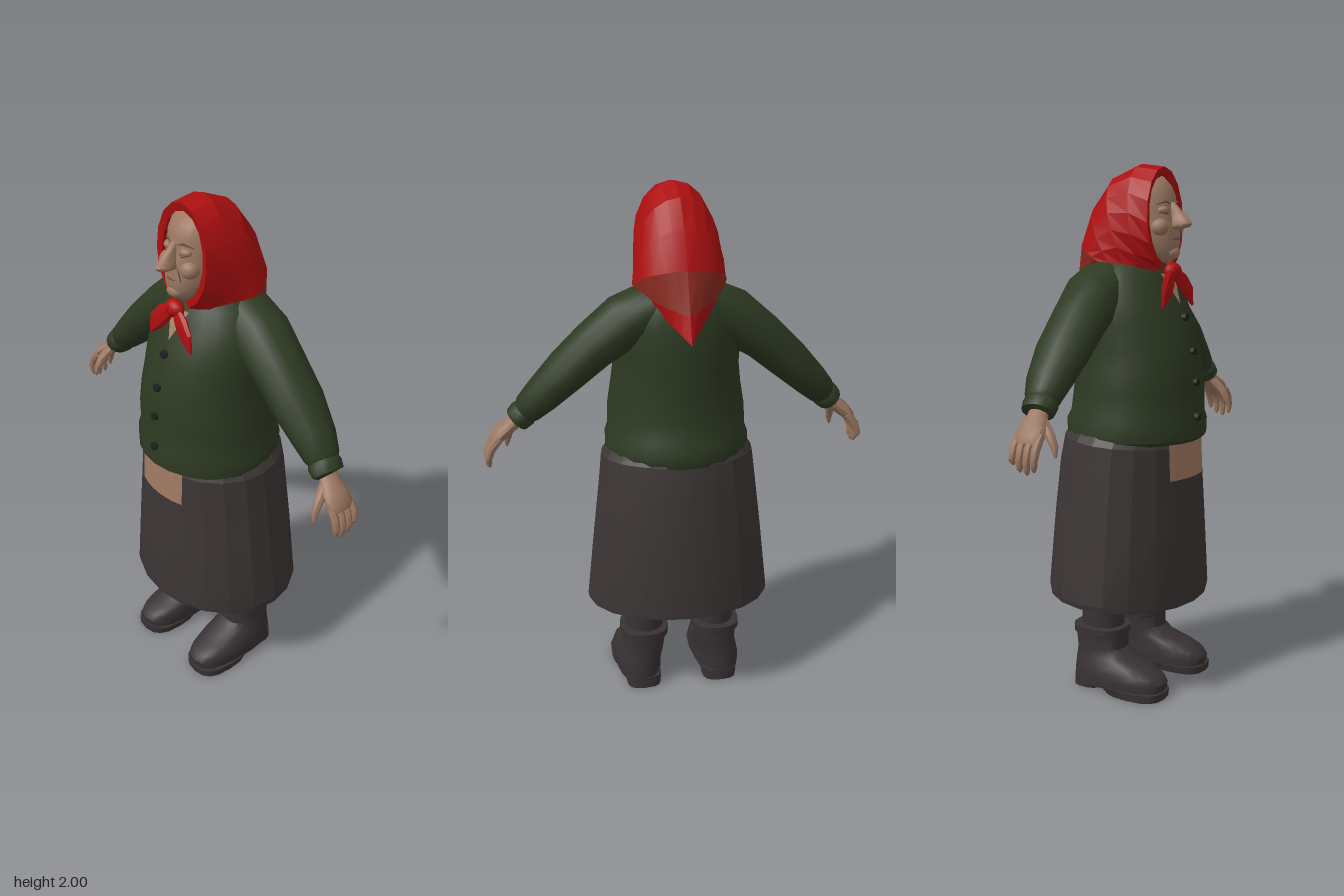
import * as THREE from 'three';
import { toCreasedNormals } from 'three/addons/utils/BufferGeometryUtils.js';

const mat = (name, color, side = THREE.FrontSide) => {
  const m = new THREE.MeshStandardMaterial({ color, side });
  m.name = name;
  return m;
};

// Skins a list of rings; closed rings get end caps, open ones make a sheet
function loft(rings, { open = false, crease = 0.7 } = {}) {
  const n = rings[0].length, pos = rings.flat(2), idx = [];
  for (let i = 0; i < rings.length - 1; i++)
    for (let j = 0; j < (open ? n - 1 : n); j++) {
      const a = i * n + j, b = i * n + (j + 1) % n;
      idx.push(a, b, b + n, a, b + n, a + n);
    }
  if (!open) [0, rings.length - 1].forEach((r, end) => {
    const c = pos.length / 3;
    for (let k = 0; k < 3; k++) pos.push(rings[r].reduce((s, p) => s + p[k], 0) / n);
    for (let j = 0; j < n; j++) {
      const a = r * n + j, b = r * n + (j + 1) % n;
      end ? idx.push(a, b, c) : idx.push(b, a, c);
    }
  });
  const g = new THREE.BufferGeometry();
  g.setAttribute('position', new THREE.Float32BufferAttribute(pos, 3));
  g.setIndex(idx);
  return toCreasedNormals(g, crease);
}

// Level oval rings from rows of [y, halfWidth, zFront, zBack, centreX]
function ovals(rows, n = 20, p = 1, tilt = 0) {
  const pw = v => Math.sign(v) * Math.abs(v) ** p;
  return rows.map(([y, w, zf, zb, cx = 0]) => Array.from({ length: n }, (_, j) => {
    const a = j / n * Math.PI * 2;
    const z = (zf + zb) / 2 + (zf - zb) / 2 * pw(Math.cos(a));
    return [cx + w * pw(Math.sin(a)), y + (zf - z) * tilt, z];
  }));
}

// Oval rings across a path with rows of [x, y, z, thickness, depth]
function limb(rows, n = 12) {
  const P = rows.map(r => new THREE.Vector3(r[0], r[1], r[2]));
  return rows.map((r, i) => {
    const d = P[Math.min(i + 1, P.length - 1)].clone().sub(P[Math.max(i - 1, 0)]).normalize();
    const v = new THREE.Vector3(0, 0, 1).addScaledVector(d, -d.z).normalize();
    const u = d.clone().cross(v);
    return Array.from({ length: n }, (_, j) => {
      const a = j / n * Math.PI * 2;
      return P[i].clone().addScaledVector(u, r[3] * Math.sin(a))
        .addScaledVector(v, r[4] * Math.cos(a)).toArray();
    });
  });
}
const line = (pts, r = 0.004) => limb(pts.map((p, i) =>
  [...p, i % (pts.length - 1) ? r : r * 0.3, i % (pts.length - 1) ? r : r * 0.3]), 6);
const mirror = rings => rings.map(r => r.map(([x, y, z]) => [-x, y, z]).reverse());

export function createModel() {
  const root = new THREE.Group();
  const skin = mat('skin', 0x9c7862), green = mat('green wool', 0x2d3922);
  const skirtMat = mat('dark skirt', 0x3c3535), bootMat = mat('boot leather', 0x383233);
  const red = mat('red cloth', 0xac0f10, THREE.DoubleSide);
  const faded = mat('faded red cloth', 0x8a2a1f, THREE.DoubleSide);
  const dark = mat('button black', 0x1d201c), crease = mat('wrinkle brown', 0x634a3d);
  const patchMat = mat('patch', 0xa07b63, THREE.DoubleSide);

  const mesh = (name, geo, m) => {
    const o = new THREE.Mesh(geo, m);
    o.name = name;
    root.add(o);
    return o;
  };
  const part = (name, rings, m, opt) => mesh(name, loft(rings, opt), m);
  const pair = (name, rings, m, opt) => {
    part('left ' + name, rings, m, opt);
    part('right ' + name, mirror(rings), m, opt);
  };
  const blob = (name, m, p, s) => {
    const o = mesh(name, new THREE.SphereGeometry(1, 14, 10), m);
    o.position.set(...p);
    o.scale.set(...s);
  };

  // Skirt, with an inner lining
  part('skirt', ovals([
    [0.9, 0.27, 0.23, -0.21], [0.4, 0.34, 0.26, -0.28], [0.352, 0.35, 0.27, -0.29],
    [0.35, 0.36, 0.28, -0.3], [0.37, 0.364, 0.282, -0.3], [0.65, 0.333, 0.272, -0.28],
    [0.86, 0.308, 0.263, -0.26], [0.96, 0.297, 0.259, -0.24], [1.03, 0.25, 0.23, -0.2],
  ], 20, 1, 0.07), skirtMat, { crease: 0.28 });

  // Sewn patch following the skirt front
  const patch = [0.84, 0.91, 0.98].map((y, i) => Array.from({ length: 7 }, (_, j) => {
    const x = -0.13 + 0.04 * j;
    return [x, y, 0.008 + (0.262 - i * 0.003) * Math.sqrt(1 - (x / 0.302) ** 2)];
  }));
  part('skirt patch', patch, patchMat, { open: true });

  // Cardigan
  part('cardigan body', ovals([
    [0.975, 0.262, 0.27, -0.23], [0.99, 0.277, 0.288, -0.242], [1.05, 0.278, 0.29, -0.242],
    [1.08, 0.267, 0.28, -0.225], [1.16, 0.265, 0.28, -0.213], [1.25, 0.25, 0.275, -0.205],
    [1.33, 0.24, 0.26, -0.205], [1.42, 0.243, 0.235, -0.205], [1.5, 0.235, 0.2, -0.197],
    [1.56, 0.215, 0.165, -0.187], [1.61, 0.18, 0.14, -0.168], [1.65, 0.13, 0.11, -0.14],
    [1.67, 0.08, 0.08, -0.1],
  ], 24), green);
  pair('sleeve', limb([
    [0.1, 1.575, -0.045, 0.085, 0.11], [0.2, 1.515, -0.045, 0.103, 0.117],
    [0.32, 1.425, -0.035, 0.09, 0.108], [0.42, 1.335, -0.03, 0.082, 0.105],
    [0.52, 1.238, -0.022, 0.068, 0.085], [0.568, 1.19, -0.012, 0.058, 0.068],
    [0.578, 1.18, -0.01, 0.05, 0.06], [0.588, 1.17, -0.008, 0.055, 0.066],
    [0.61, 1.147, -0.004, 0.05, 0.062], [0.614, 1.143, -0.004, 0.036, 0.045],
  ], 14), green);
  [[1.44, 0.231], [1.315, 0.266], [1.2, 0.28], [1.07, 0.288]].forEach(([y, z], i) => {
    const b = mesh('button ' + (i + 1), new THREE.CylinderGeometry(0.014, 0.016, 0.018, 10), dark);
    b.rotation.x = Math.PI / 2;
    b.position.set(0, y, z);
  });

  // Hands
  pair('palm', limb([
    [0.595, 1.162, 0, 0.028, 0.036], [0.63, 1.128, 0.005, 0.028, 0.04],
    [0.665, 1.1, 0.012, 0.029, 0.053], [0.695, 1.07, 0.015, 0.024, 0.054],
    [0.705, 1.05, 0.015, 0.015, 0.05],
  ]), skin);
  [-0.043, -0.015, 0.014, 0.043].forEach((o, i) => {
    const tip = 0.952 + [0.03, 0.008, 0, 0.012][i];
    pair('finger ' + (i + 1), limb([
      [0.68, 1.082, 0.015 + o, 0.016, 0.014], [0.713, 1.04, 0.015 + o * 1.05, 0.016, 0.015],
      [0.726, 1, 0.015 + o * 1.05, 0.013, 0.013], [0.722, tip + 0.012, 0.015 + o, 0.011, 0.011],
      [0.72, tip, 0.015 + o, 0.004, 0.004],
    ], 8), skin);
  });
  pair('thumb', limb([
    [0.625, 1.125, 0.025, 0.02, 0.018], [0.64, 1.08, 0.065, 0.018, 0.018],
    [0.645, 1.04, 0.088, 0.014, 0.014], [0.65, 1.005, 0.095, 0.005, 0.005],
  ], 8), skin);

  // Legs and boots
  pair('leg', ovals([[0.2, 0.075, 0.04, -0.125, 0.145], [0.35, 0.078, 0.045, -0.13, 0.142],
    [0.65, 0.095, 0.08, -0.13, 0.13]], 14), bootMat);
  pair('boot', ovals([
    [0.025, 0.088, 0.24, -0.145, 0.163], [0.06, 0.092, 0.245, -0.145, 0.163],
    [0.085, 0.09, 0.228, -0.143, 0.162], [0.11, 0.086, 0.175, -0.142, 0.158],
    [0.135, 0.082, 0.095, -0.14, 0.152], [0.165, 0.08, 0.058, -0.14, 0.148],
    [0.215, 0.086, 0.055, -0.143, 0.146], [0.22, 0.095, 0.062, -0.15, 0.146],
    [0.248, 0.096, 0.063, -0.152, 0.146], [0.25, 0.08, 0.047, -0.132, 0.146],
  ], 18, 0.8), bootMat);
  pair('boot sole', ovals([[0, 0.088, 0.245, 0.005, 0.167], [0.03, 0.094, 0.248, -0.03, 0.165]],
    16, 0.75), bootMat);
  pair('boot heel', ovals([[0, 0.068, -0.025, -0.146, 0.157], [0.045, 0.072, -0.01, -0.146, 0.157]],
    14, 0.7), bootMat);

  // Head, neck and the open collar
  part('head', ovals([
    [1.64, 0.04, 0.165, 0], [1.66, 0.065, 0.187, -0.02], [1.69, 0.085, 0.195, -0.04],
    [1.73, 0.098, 0.195, -0.06], [1.78, 0.107, 0.19, -0.08], [1.83, 0.108, 0.178, -0.09],
    [1.88, 0.105, 0.174, -0.08], [1.92, 0.095, 0.157, -0.07], [1.955, 0.065, 0.125, -0.03],
  ], 24, 0.92), skin, { crease: 1 });
  part('neck', ovals([[1.52, 0.07, 0.12, -0.08], [1.68, 0.065, 0.12, -0.06]], 14), skin);
  part('open collar', [[[0, 1.49, 0.209], [0, 1.49, 0.209 + 0.001]],
    [[-0.05, 1.6, 0.155], [0.05, 1.6, 0.155]]], patchMat, { open: true });

  // Face
  part('nose', ovals([
    [1.762, 0.014, 0.215, 0.16], [1.77, 0.027, 0.248, 0.16], [1.782, 0.028, 0.257, 0.16],
    [1.797, 0.021, 0.246, 0.15], [1.825, 0.015, 0.217, 0.15], [1.86, 0.012, 0.182, 0.14],
  ], 12), skin, { crease: 0.9 });
  blob('chin', skin, [0, 1.676, 0.173], [0.036, 0.026, 0.028]);
  for (const s of [1, -1]) {
    const side = s > 0 ? 'left ' : 'right ';
    blob(side + 'cheek', skin, [s * 0.057, 1.768, 0.152], [0.036, 0.034, 0.036]);
    blob(side + 'eyelid', skin, [s * 0.043, 1.829, 0.156], [0.026, 0.017, 0.023]);
  }
  pair('eye line', line([[0.019, 1.822, 0.174], [0.042, 1.817, 0.176], [0.067, 1.823, 0.16]]), crease);
  pair('brow', line([[0.017, 1.853, 0.177], [0.045, 1.861, 0.17], [0.077, 1.848, 0.147]]), crease);
  pair('cheek fold', line([[0.026, 1.782, 0.187], [0.04, 1.75, 0.187], [0.044, 1.72, 0.183]], 0.003), crease);
  part('mouth', line([[-0.035, 1.724, 0.186], [0, 1.727, 0.197], [0.035, 1.724, 0.186]]), crease);

  // Headscarf: arches of [topY, topZ, endY, endZ, halfWidth, sweep in degrees, point]
  const arches = [
    [1.955, 0.13, 1.635, 0.15, 0.11, 168, 0], [1.988, 0.14, 1.612, 0.15, 0.135, 163, 0],
    [2, 0.045, 1.61, 0.1, 0.15, 138, 0], [1.955, -0.06, 1.635, 0.045, 0.16, 120, 0],
    [1.855, -0.135, 1.64, 0, 0.168, 106, 0], [1.72, -0.19, 1.645, -0.04, 0.175, 96, 0.1],
    [1.57, -0.24, 1.645, -0.06, 0.172, 90, 0.6], [1.47, -0.275, 1.635, -0.07, 0.165, 90, 1],
  ].map(([ty, tz, ey, ez, w, deg, k]) => Array.from({ length: 15 }, (_, j) => {
    const f = j / 7 - 1, M = deg * Math.PI / 180, a = f * M;
    const t = (1 - k) * (Math.cos(a) - Math.cos(M)) / (1 - Math.cos(M)) + k * (1 - Math.abs(f));
    return [w * ((1 - k) * Math.sin(a) + k * f), ey + (ty - ey) * t, ez + (tz - ez) * t];
  }));
  const sheet = { open: true, crease: 0.3 };
  part('headscarf', arches.slice(0, 6), red, sheet);
  part('headscarf faded band', arches.slice(5, 7), faded, sheet);
  part('headscarf hem', arches.slice(6), red, sheet);
  blob('scarf knot', red, [0, 1.608, 0.178], [0.042, 0.033, 0.03]);
  pair('scarf tail', limb([
    [0.01, 1.605, 0.18, 0.02, 0.012], [0.05, 1.57, 0.19, 0.036, 0.016],
    [0.085, 1.53, 0.198, 0.034, 0.013], [0.113, 1.478, 0.2, 0.005, 0.004],
  ], 8), red, { crease: 0.4 });
  return root;
}
